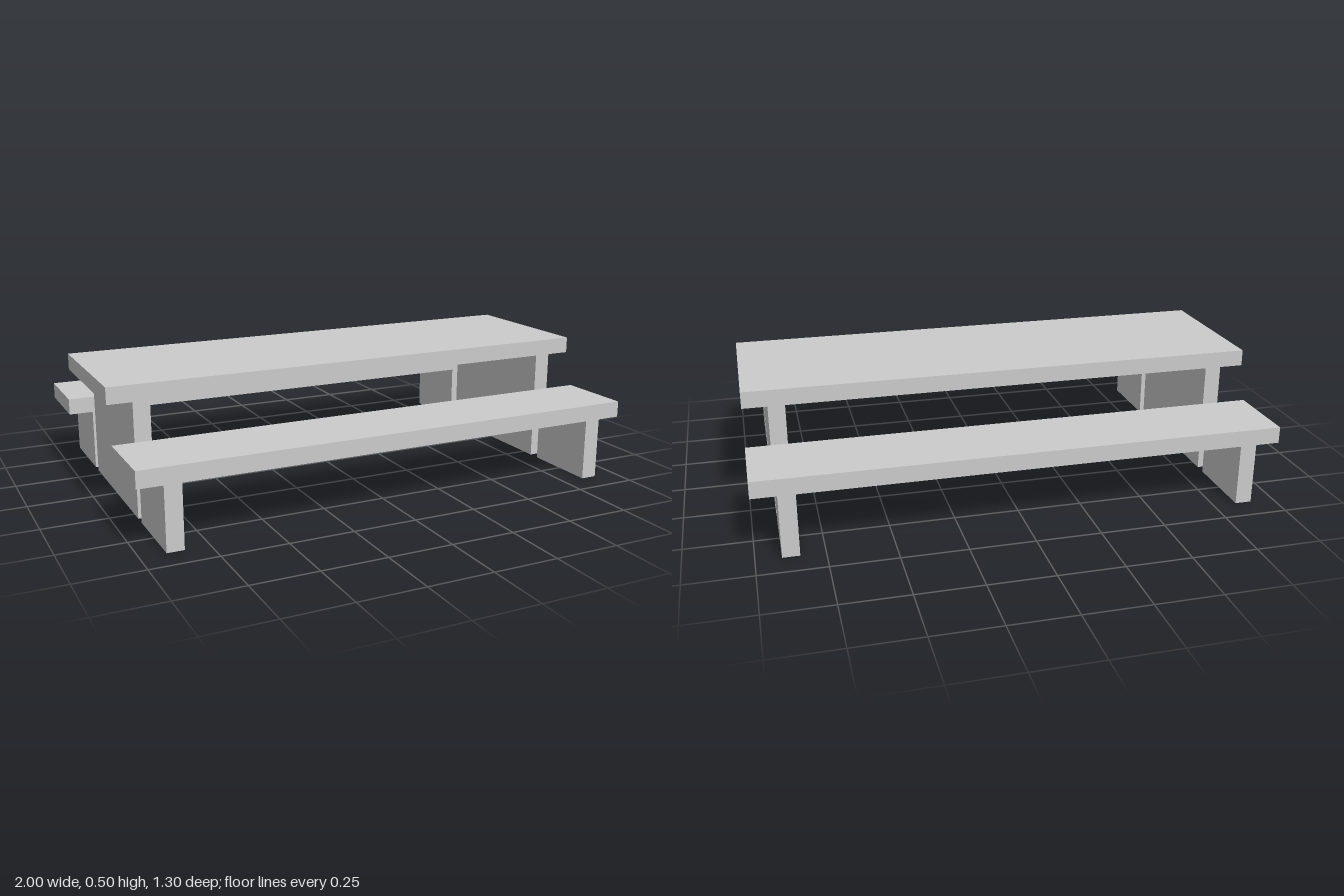
import * as THREE from 'three';

const LENGTH = 2;
const THICKNESS = 0.064; // shared by slabs and leg panels
const LEG_X = 0.874;

const material = new THREE.MeshStandardMaterial({ color: 0xcccccc, flatShading: true });

function addBox(parent, name, w, h, d, x, y) {
  const mesh = new THREE.Mesh(new THREE.BoxGeometry(w, h, d), material);
  mesh.name = name;
  mesh.position.set(x, y, 0);
  parent.add(mesh);
}

// A long slab resting on two full-depth panel legs
function slabOnPanels(name, surfaceName, height, depth, z) {
  const group = new THREE.Group();
  group.name = name;
  const legHeight = height - THICKNESS;
  addBox(group, surfaceName, LENGTH, THICKNESS, depth, 0, height - THICKNESS / 2);
  addBox(group, 'leftLegPanel', THICKNESS, legHeight, depth, LEG_X, legHeight / 2);
  addBox(group, 'rightLegPanel', THICKNESS, legHeight, depth, -LEG_X, legHeight / 2);
  group.position.z = z;
  return group;
}

export function createModel() {
  const model = new THREE.Group();
  model.name = 'picnicTable';
  model.add(
    slabOnPanels('table', 'tableTop', 0.505, 0.604, 0),
    slabOnPanels('frontBench', 'benchSeat', 0.305, 0.302, 0.497),
    slabOnPanels('backBench', 'benchSeat', 0.305, 0.302, -0.497),
  );
  return model;
}
